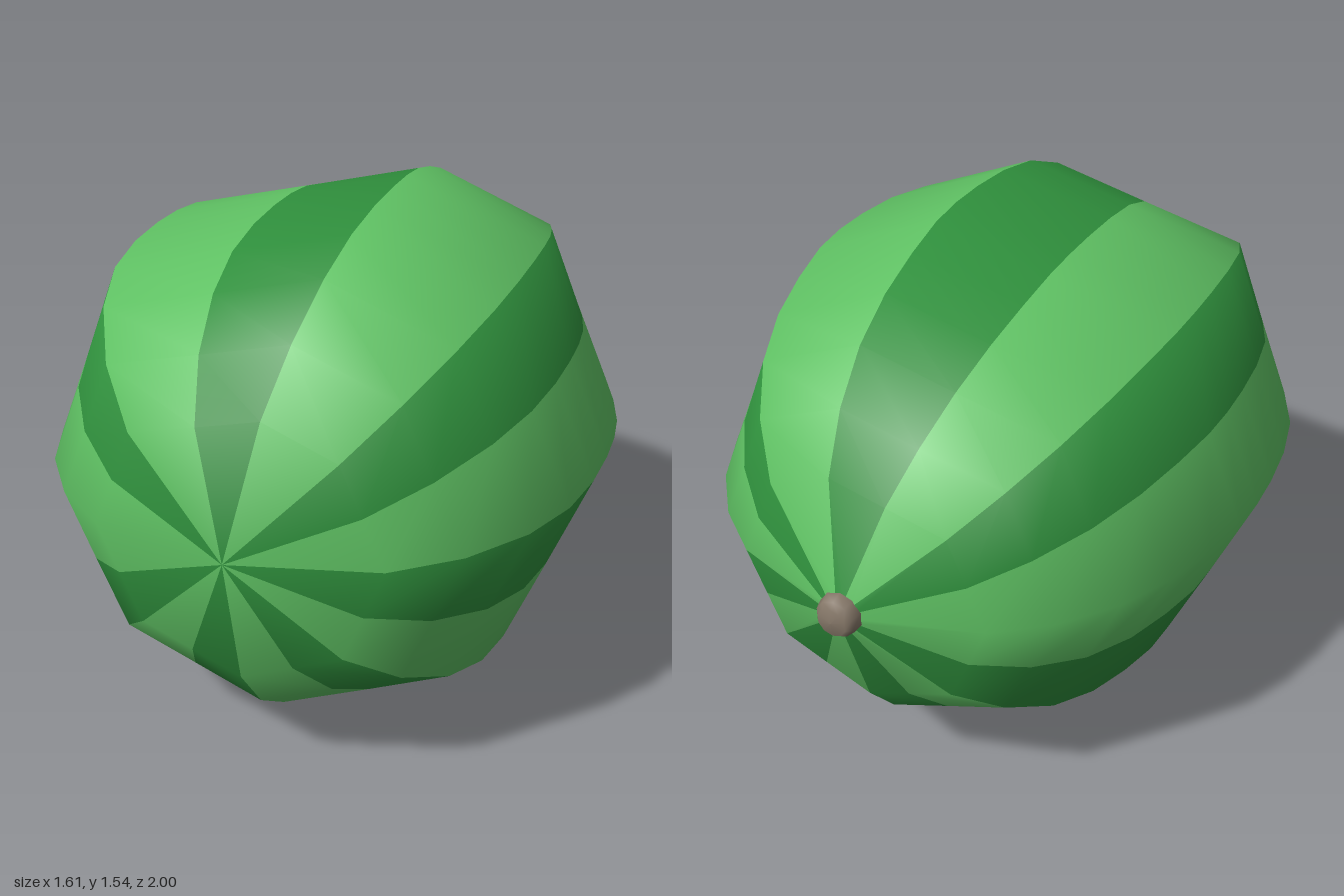
import * as THREE from 'three';

const AXIS_Y = 0.807;

// Cross-section at the widest point, counter-clockwise: x, y, and whether the panel that starts here is dark
const SECTION = [
  [0.805, 0.82, 0], [0.68, 1.1, 1], [0.562, 1.38, 0], [0.155, 1.547, 1], [-0.2, 1.46, 0],
  [-0.577, 1.37, 1], [-0.692, 1.08, 0], [-0.807, 0.8, 0], [-0.69, 0.52, 1], [-0.567, 0.235, 0],
  [-0.28, 0.118, 1], [0, 0.003, 0], [0.3, 0.13, 1], [0.577, 0.25, 0], [0.69, 0.53, 1],
];

// Rings from the pointed front to the stem end: z, scale of the cross-section
const RINGS = [
  [1, 0], [0.913, 0.492], [0.785, 0.7], [0.62, 0.855], [0.45, 0.945], [0.28, 0.985],
  [0.12, 0.999], [-0.01, 0.999], [-0.13, 0.985], [-0.278, 0.942], [-0.437, 0.88],
  [-0.595, 0.783], [-0.737, 0.64], [-0.852, 0.458], [-0.955, 0.06],
];

// Rind: one lofted skin, split into light and dark panels that share smooth normals
function createRind() {
  const n = SECTION.length;
  const positions = [];
  const panels = [[], []];
  RINGS.forEach(([z, s], i) => {
    SECTION.forEach(([x, y, dark], j) => {
      positions.push(x * s, (y - AXIS_Y) * s, z);
      if (i === RINGS.length - 1) return;
      const a = i * n + j;
      const b = i * n + (j + 1) % n;
      if (i > 0) panels[dark].push(a, b + n, b);
      panels[dark].push(a, a + n, b + n);
    });
  });

  const skin = new THREE.BufferGeometry();
  skin.setAttribute('position', new THREE.Float32BufferAttribute(positions, 3));
  skin.setIndex([...panels[0], ...panels[1]]);
  skin.computeVertexNormals();
  for (let j = 0; j < n; j++) skin.attributes.normal.setXYZ(j, 0, 0, 1);

  const rind = new THREE.Group();
  rind.name = 'rind';
  [['lightStripes', 0x5fc163], ['darkStripes', 0x2f8f3c]].forEach(([name, color], k) => {
    const geometry = new THREE.BufferGeometry();
    geometry.setAttribute('position', skin.attributes.position);
    geometry.setAttribute('normal', skin.attributes.normal);
    geometry.setIndex(panels[k]);
    const mesh = new THREE.Mesh(geometry, new THREE.MeshStandardMaterial({ color }));
    mesh.name = name;
    rind.add(mesh);
  });
  return rind;
}

// Stem: short tapered stub with a rounded end, pointing backwards
function createStem() {
  const profile = [[0.06, -0.03], [0.064, 0], [0.056, 0.03], [0.042, 0.046], [0, 0.05]]
    .map(([r, h]) => new THREE.Vector2(r, h));
  const geometry = new THREE.LatheGeometry(profile, 10);
  geometry.rotateX(-Math.PI / 2);
  const stem = new THREE.Mesh(geometry, new THREE.MeshStandardMaterial({ color: 0x857768 }));
  stem.name = 'stem';
  stem.position.z = -0.95;
  return stem;
}

export function createModel() {
  const melon = new THREE.Group();
  melon.name = 'melon';
  melon.add(createRind(), createStem());
  // The fruit lies slightly askew
  melon.position.y = AXIS_Y;
  melon.rotation.set(-0.01, 0.045, 0);

  const model = new THREE.Group();
  model.add(melon);
  return model;
}
